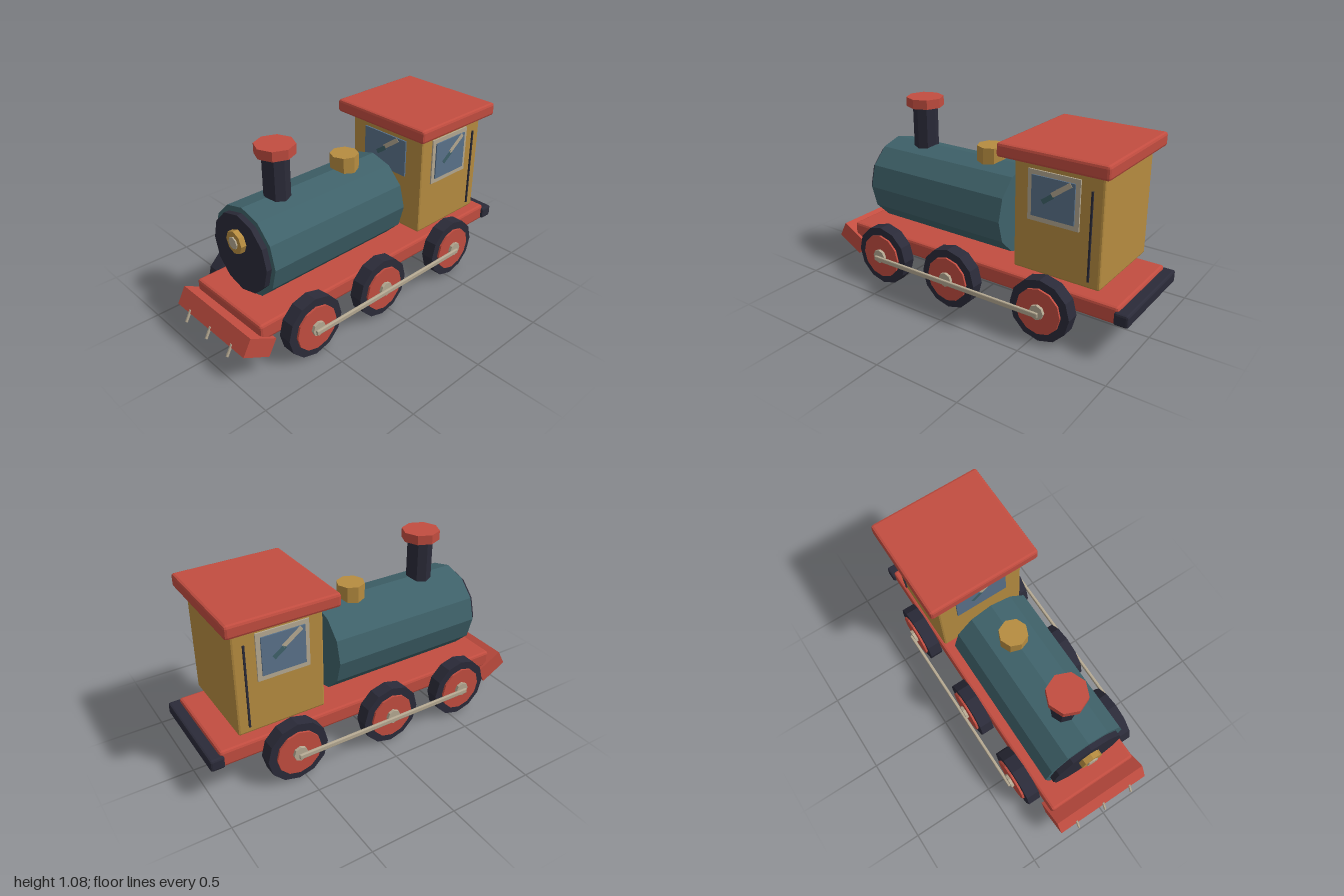
import * as THREE from 'three';
import { RoundedBoxGeometry } from 'three/addons/geometries/RoundedBoxGeometry.js';

const paint = (name, color) => {
  const m = new THREE.MeshStandardMaterial({ color });
  m.name = name;
  return m;
};

export function createModel() {
  const model = new THREE.Group();
  model.name = 'locomotive';

  const red = paint('brick red', 0xc24d40);
  const teal = paint('boiler teal', 0x3f626a);
  const ochre = paint('ochre', 0xb68c40);
  const dark = paint('dark iron', 0x2b2b39);
  const cream = paint('pale metal', 0xb5a992);
  const glass = paint('window glass', 0x5a728a);

  // Separate the faces so each one shades flat
  const flat = (g) => {
    const f = g.index ? g.toNonIndexed() : g;
    f.computeVertexNormals();
    return f;
  };
  const add = (parent, name, geometry, material, x, y, z) => {
    const mesh = new THREE.Mesh(flat(geometry), material);
    mesh.name = name;
    mesh.position.set(x, y, z);
    parent.add(mesh);
    return mesh;
  };
  const box = (w, h, d) => new THREE.BoxGeometry(w, h, d);
  const chamferBox = (w, h, d, r = 0.012) => new RoundedBoxGeometry(w, h, d, 1, r);
  const drum = (r, length, sides, axis = 'y') => {
    const g = new THREE.CylinderGeometry(r, r, length, sides);
    if (axis === 'x') g.rotateZ(Math.PI / 2);
    if (axis === 'z') g.rotateX(Math.PI / 2);
    return g;
  };

  // Chassis and rear bumper
  add(model, 'chassis', chamferBox(1.785, 0.097, 0.564, 0.015), red, 0.047, 0.242, 0);
  add(model, 'rearBumper', chamferBox(0.08, 0.07, 0.596), dark, 0.96, 0.236, 0);

  // Tilted front guard with three teeth
  const guard = new THREE.Group();
  guard.name = 'frontGuard';
  guard.position.set(-0.866, 0.182, 0);
  guard.rotation.z = -0.5;
  model.add(guard);
  add(guard, 'guardBeam', box(0.176, 0.105, 0.596), red, 0, 0, 0);
  for (const z of [-0.187, 0, 0.187]) {
    add(guard, 'guardTooth', drum(0.008, 0.07, 6), cream, -0.086, -0.07, z);
  }

  // Boiler, front door and lamp
  add(model, 'boiler', drum(0.252, 0.92, 12, 'x'), teal, -0.25, 0.547, 0);
  add(model, 'boilerDoor', drum(0.223, 0.035, 12, 'x'), dark, -0.724, 0.545, 0);
  add(model, 'lamp', drum(0.065, 0.035, 8, 'x'), ochre, -0.755, 0.622, 0);
  add(model, 'lampLens', drum(0.034, 0.012, 8, 'x'), cream, -0.774, 0.622, 0);

  // Chimney and steam dome
  add(model, 'chimney', drum(0.072, 0.28, 8), dark, -0.485, 0.9, 0);
  add(model, 'chimneyCap', drum(0.108, 0.054, 8), red, -0.485, 1.052, 0);
  add(model, 'steamDome', drum(0.08, 0.11, 8), ochre, -0.015, 0.818, 0);

  // Cab and roof
  add(model, 'cab', chamferBox(0.505, 0.6, 0.54), ochre, 0.572, 0.638, 0);
  add(model, 'cabRoof', chamferBox(0.625, 0.076, 0.668, 0.015), red, 0.56, 0.983, 0);

  // Windows face +z before they are turned into place
  const addWindow = (name, x, y, z, turn, w, framed) => {
    const win = new THREE.Group();
    win.name = name;
    win.position.set(x, y, z);
    win.rotation.y = turn;
    model.add(win);
    if (framed) add(win, 'windowFrame', box(0.295, 0.272, 0.009), cream, 0, -0.002, 0.004);
    add(win, 'windowPane', box(w, 0.218, 0.009), glass, 0, 0, 0.011);
    const glint = add(win, 'glint', box(0.13, 0.026, 0.003), cream, 0.048, 0.062, 0.016);
    const shade = add(win, 'glintShade', box(0.08, 0.026, 0.003), teal, -0.026, 0, 0.016);
    glint.rotation.z = shade.rotation.z = 0.63;
  };
  addWindow('leftCabWindow', 0.552, 0.77, 0.27, 0, 0.245, true);
  addWindow('rightCabWindow', 0.552, 0.77, -0.27, Math.PI, 0.245, true);
  addWindow('frontCabWindow', 0.32, 0.782, 0, -Math.PI / 2, 0.32, false);

  // Each side: door seam, three wheels and the coupling rod
  const wheelXs = [-0.553, -0.057, 0.537];
  for (const s of [1, -1]) {
    add(model, 'doorSeam', box(0.01, 0.48, 0.009), dark, 0.762, 0.618, s * 0.274);
    for (const x of wheelXs) {
      const wheel = new THREE.Group();
      wheel.name = 'wheel';
      wheel.position.set(x, 0.178, 0);
      model.add(wheel);
      add(wheel, 'tyre', drum(0.178, 0.078, 12, 'z'), dark, 0, 0, s * 0.323);
      add(wheel, 'wheelDisc', drum(0.131, 0.02, 12, 'z'), red, 0, 0, s * 0.364);
      add(wheel, 'hub', drum(0.042, 0.02, 8, 'z'), cream, 0, 0.004, s * 0.381);
    }
    add(model, 'couplingRod', chamferBox(1.13, 0.029, 0.017, 0.005), cream, -0.014, 0.171, s * 0.396);
  }

  return model;
}
